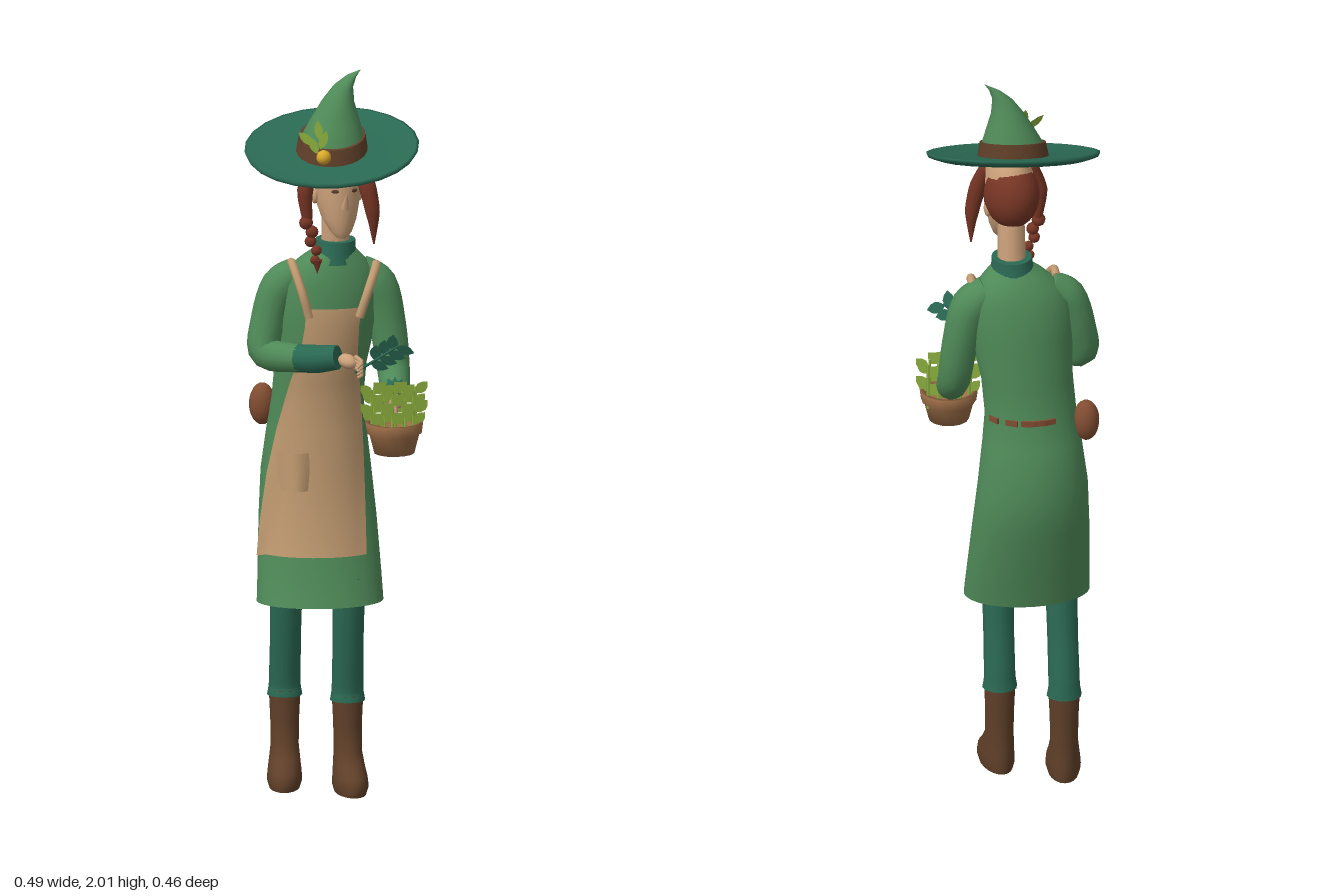
import * as THREE from 'three';

const mat = (name, color) => {
  const m = new THREE.MeshStandardMaterial({ color, side: THREE.DoubleSide });
  m.name = name;
  return m;
};
const M = {
  green: mat('green cloth', 0x4f8a58), teal: mat('dark teal cloth', 0x2a6953),
  lime: mat('leaf green', 0x8db13e), linen: mat('linen', 0xc09a70),
  skin: mat('skin', 0xcda27b), hair: mat('auburn hair', 0x763524),
  brown: mat('boot brown', 0x5f3f28), clay: mat('clay', 0x9c6d47),
  leather: mat('leather', 0x824d32), yellow: mat('yellow', 0xd9a92c),
};
const V = (a) => new THREE.Vector3(...a);

function add(parent, name, geo, material, pos = [0, 0, 0], rot = [0, 0, 0], scale = [1, 1, 1]) {
  const m = new THREE.Mesh(geo, material);
  m.name = name;
  m.position.set(...pos);
  m.rotation.set(...rot);
  m.scale.set(...scale);
  parent.add(m);
  return m;
}

// Skins a list of equal rings of points, with flat end caps
function skinRings(rings) {
  const n = rings[0].length, pos = [], idx = [];
  rings.forEach((r) => r.forEach((p) => pos.push(p.x, p.y, p.z)));
  for (let i = 0; i < rings.length - 1; i++) for (let j = 0; j < n; j++) {
    const a = i * n + j, b = i * n + (j + 1) % n;
    idx.push(a, b, b + n, a, b + n, a + n);
  }
  [rings[0], rings[rings.length - 1]].forEach((r, end) => {
    const base = pos.length / 3, c = new THREE.Vector3();
    r.forEach((p) => { pos.push(p.x, p.y, p.z); c.addScaledVector(p, 1 / n); });
    pos.push(c.x, c.y, c.z);
    for (let j = 0; j < n; j++) {
      const a = base + j, b = base + (j + 1) % n;
      if (end) idx.push(a, b, base + n); else idx.push(b, a, base + n);
    }
  });
  const g = new THREE.BufferGeometry();
  g.setAttribute('position', new THREE.Float32BufferAttribute(pos, 3));
  g.setIndex(idx);
  g.computeVertexNormals();
  return g;
}

// Upright loft from ellipses [y, cx, cz, rx, rz]
const loft = (sections, n = 24) => skinRings(sections.map(([y, cx, cz, rx, rz]) =>
  Array.from({ length: n }, (_, j) => {
    const a = j / n * Math.PI * 2;
    return new THREE.Vector3(cx + rx * Math.sin(a), y, cz + rz * Math.cos(a));
  })));

// Tapering tube along a curve; ref is a direction never parallel to the path
function limb(points, radii, ref = [0, 0, 1], n = 12, steps = 16) {
  const curve = new THREE.CatmullRomCurve3(points.map(V));
  return skinRings(Array.from({ length: steps + 1 }, (_, i) => {
    const t = i / steps, f = t * (radii.length - 1), k = Math.min(Math.floor(f), radii.length - 2);
    const r = THREE.MathUtils.lerp(radii[k], radii[k + 1], f - k);
    const c = curve.getPoint(t), T = curve.getTangent(t), v = V(ref);
    v.addScaledVector(T, -v.dot(T)).normalize();
    const u = T.clone().cross(v);
    return Array.from({ length: n }, (_, j) => {
      const a = j / n * Math.PI * 2;
      return c.clone().addScaledVector(u, r * Math.sin(a)).addScaledVector(v, r * Math.cos(a));
    });
  }));
}

function leafGeo(w, h) {
  const s = new THREE.Shape();
  s.moveTo(0, 0);
  s.quadraticCurveTo(w * 0.9, h * 0.45, 0, h);
  s.quadraticCurveTo(-w * 0.9, h * 0.45, 0, 0);
  return new THREE.ShapeGeometry(s, 4);
}

const DRESS = [
  [0.525, -0.03, -0.035, 0.172, 0.115], [0.6, -0.03, -0.055, 0.168, 0.11],
  [0.75, -0.032, -0.09, 0.16, 0.112], [0.88, -0.035, -0.105, 0.15, 0.118],
  [1.0, -0.035, -0.09, 0.135, 0.102], [1.08, -0.033, -0.08, 0.125, 0.092],
  [1.18, -0.025, -0.068, 0.125, 0.097], [1.3, -0.012, -0.058, 0.138, 0.103],
  [1.4, -0.008, -0.053, 0.14, 0.095], [1.45, 0, -0.05, 0.112, 0.08],
  [1.48, 0.005, -0.043, 0.08, 0.068], [1.5, 0.01, -0.04, 0.055, 0.055],
];
function dressAt(y) {
  let i = 0;
  while (i < DRESS.length - 2 && DRESS[i + 1][0] < y) i++;
  const t = (y - DRESS[i][0]) / (DRESS[i + 1][0] - DRESS[i][0]);
  return DRESS[i].map((v, k) => THREE.MathUtils.lerp(v, DRESS[i + 1][k], t));
}
function frontZ(x, y) {
  const [, cx, cz, rx, rz] = dressAt(y);
  return cz + rz * Math.sqrt(Math.max(0.25, 1 - ((x - cx) / rx) ** 2)) + 0.01;
}

// Curved sheet over the dress front from rows [y, left x, right x]
function frontSheet(rows, lift = 0, n = 10) {
  const g = new THREE.PlaneGeometry(1, 1, n, rows.length - 1), p = g.attributes.position;
  for (let i = 0; i < p.count; i++) {
    const [y, a, b] = rows[Math.floor(i / (n + 1))], t = (i % (n + 1)) / n;
    const x = THREE.MathUtils.lerp(a, b, t);
    p.setXYZ(i, x, y, frontZ(x, y) + lift * Math.sin(t * Math.PI));
  }
  g.computeVertexNormals();
  return g;
}

function buildHat(root) {
  const hat = new THREE.Group();
  hat.name = 'hat';
  hat.position.set(-0.004, 1.787, 0.032);
  hat.rotation.set(0.31, 0, 0.05);
  root.add(hat);
  const brim = [[0, -0.008], [0.12, -0.012], [0.2, -0.008], [0.232, 0.002], [0.237, 0.012],
    [0.228, 0.014], [0.18, 0.004], [0.1, 0.004], [0, 0.006]].map((p) => new THREE.Vector2(...p));
  add(hat, 'hatBrim', new THREE.LatheGeometry(brim, 24), M.teal, [0, 0, 0], [0, 0, 0], [1, 1, 0.88]);
  add(hat, 'hatCrown', loft([[0, 0, 0, 0.093, 0.09], [0.035, 0.003, -0.01, 0.086, 0.083],
    [0.08, 0.012, -0.026, 0.066, 0.064], [0.125, 0.022, -0.042, 0.045, 0.045],
    [0.165, 0.039, -0.056, 0.027, 0.027], [0.19, 0.062, -0.065, 0.014, 0.014],
    [0.206, 0.088, -0.07, 0.001, 0.001]]), M.green);
  add(hat, 'hatBand', loft([[0.004, 0, 0, 0.097, 0.095], [0.043, 0.003, -0.012, 0.09, 0.087]]), M.brown);
  add(root, 'hatFruit', new THREE.SphereGeometry(0.02, 14, 10), M.yellow, [-0.037, 1.795, 0.15]);
  [[-0.05, 0.5], [-0.045, -0.4], [-0.062, 0.9], [-0.045, 0.1]].forEach(([x, r], i) =>
    add(root, 'hatLeaf', leafGeo(0.028, 0.055), M.lime, [x, 1.8 + i * 0.012, 0.132 - i * 0.004], [-0.3, 0.3, r]));
}

function buildHead(root) {
  const head = new THREE.Group();
  head.name = 'head';
  head.position.x = 0.012;
  head.rotation.y = 0.22;
  root.add(head);
  add(head, 'face', loft([[1.548, 0, 0.045, 0.014, 0.016], [1.565, 0, 0.038, 0.03, 0.032],
    [1.6, 0, 0.02, 0.047, 0.056], [1.65, 0, 0.004, 0.06, 0.076], [1.7, 0, 0, 0.064, 0.08],
    [1.76, 0, 0, 0.062, 0.078], [1.8, 0, 0, 0.04, 0.05]]), M.skin);
  add(head, 'nose', new THREE.ConeGeometry(0.013, 0.05, 8), M.skin, [0, 1.658, 0.084], [0.45, 0, 0]);
  for (const s of [-1, 1]) {
    add(head, 'ear', new THREE.SphereGeometry(0.02, 10, 8), M.skin, [s * 0.063, 1.66, 0], [0, 0, 0], [0.5, 1.2, 0.8]);
    add(head, 'eye', new THREE.SphereGeometry(0.009, 8, 6), M.brown, [s * 0.027, 1.682, 0.072], [0, s * 0.4, 0], [1.2, 0.6, 0.3]);
    add(head, 'brow', new THREE.BoxGeometry(0.026, 0.005, 0.005), M.brown, [s * 0.028, 1.703, 0.073], [0, s * 0.4, s * -0.15]);
  }
  add(head, 'mouth', new THREE.TorusGeometry(0.024, 0.0025, 6, 12, 1.8), M.brown, [0, 1.63, 0.07], [0.2, 0, Math.PI + 0.67]);
  add(head, 'backHair', new THREE.SphereGeometry(1, 20, 16, Math.PI * 0.95, Math.PI * 1.1), M.hair,
    [0, 1.7, -0.012], [0, 0, 0], [0.075, 0.095, 0.092]);
  add(root, 'neck', limb([[0.012, 1.46, -0.045], [0.012, 1.62, -0.03]], [0.04, 0.037]), M.skin);
  add(root, 'collar', loft([[1.465, 0.008, -0.042, 0.068, 0.072], [1.49, 0.01, -0.04, 0.058, 0.064],
    [1.525, 0.012, -0.04, 0.054, 0.06]]), M.teal);
  // Side lock and braid
  add(root, 'sideLock', limb([[0.07, 1.76, 0.035], [0.09, 1.69, 0.055], [0.104, 1.62, 0.06], [0.108, 1.53, 0.055]],
    [0.018, 0.024, 0.02, 0.002]), M.hair);
  add(root, 'braidLock', limb([[-0.055, 1.76, 0.03], [-0.077, 1.68, 0.04], [-0.072, 1.6, 0.04]], [0.016, 0.022, 0.014]), M.hair);
  for (let i = 0; i < 5; i++) {
    add(root, 'braidKnot', new THREE.SphereGeometry(0.019 - i * 0.0015, 10, 8), M.hair,
      [-0.07 + i * 0.006 + (i % 2 ? 0.005 : -0.005), 1.59 - i * 0.026, 0.042]);
  }
  add(root, 'braidTip', new THREE.ConeGeometry(0.014, 0.04, 8), M.hair, [-0.045, 1.467, 0.045], [Math.PI, 0, 0]);
}

function buildArms(root) {
  const diag = [1, 0, -1], side = [1, 0, 0];
  add(root, 'rightSleeve', limb([[-0.085, 1.435, -0.05], [-0.135, 1.4, -0.045], [-0.17, 1.3, -0.04],
    [-0.18, 1.222, -0.02], [-0.11, 1.215, 0.04], [-0.04, 1.222, 0.085]],
    [0.042, 0.052, 0.048, 0.045, 0.039, 0.035], diag, 14, 24), M.green);
  add(root, 'rightCuff', limb([[-0.095, 1.216, 0.05], [-0.05, 1.22, 0.08], [0.005, 1.23, 0.108]], [0.039, 0.039, 0.033], diag), M.teal);
  add(root, 'leftSleeve', limb([[0.075, 1.435, -0.055], [0.125, 1.395, -0.055], [0.155, 1.28, -0.05],
    [0.168, 1.17, -0.03], [0.168, 1.125, 0.02], [0.165, 1.115, 0.055]],
    [0.045, 0.054, 0.05, 0.045, 0.041, 0.036], side, 14, 24), M.green);
  add(root, 'leftCuff', limb([[0.166, 1.118, 0.04], [0.163, 1.113, 0.08]], [0.039, 0.034], side), M.teal);
  for (const [name, x, y, z, dx] of [['right', 0.03, 1.222, 0.125, 0.02], ['left', 0.16, 1.105, 0.105, 0]]) {
    add(root, name + 'Hand', new THREE.SphereGeometry(0.024, 12, 8), M.skin, [x, y, z], [0.3, 0.7, 0], [0.9, 0.8, 1.25]);
    for (let i = 0; i < 4; i++) {
      add(root, name + 'Finger', limb([[x + dx, y + 0.014 - i * 0.009, z + 0.01],
        [x + dx * 1.8, y + 0.004 - i * 0.011, z + 0.032], [x + dx * 1.2, y - 0.012 - i * 0.009, z + 0.036]],
        [0.007, 0.006, 0.004], side, 6, 5), M.skin);
    }
  }
  // Cutting held in the right hand
  add(root, 'cuttingStem', limb([[0.05, 1.195, 0.14], [0.1, 1.235, 0.175], [0.16, 1.28, 0.205]], [0.004, 0.004, 0.003], [0, 1, -1], 6), M.teal);
  for (let i = 0; i < 7; i++) {
    const t = 0.35 + i * 0.1, s = i % 2 ? 1 : -1;
    add(root, 'cuttingLeaf', leafGeo(0.036, 0.052), M.teal,
      [0.05 + 0.11 * t, 1.195 + 0.085 * t, 0.14 + 0.065 * t], [0.4, -0.3, -0.9 + s * 0.85]);
  }
}

function buildPot(root) {
  const pot = new THREE.Group();
  pot.name = 'plantPot';
  pot.position.set(0.155, 0.97, 0.14);
  root.add(pot);
  const profile = [[0, 0], [0.055, 0], [0.069, 0.055], [0.075, 0.056], [0.079, 0.085], [0.068, 0.085], [0.06, 0.045], [0, 0.045]];
  add(pot, 'pot', new THREE.LatheGeometry(profile.map((p) => new THREE.Vector2(...p)), 14), M.clay);
  for (let k = 0; k < 2; k++) for (let c = 0; c < 5; c++) {
    const x = (c - 2) * 0.028 + k * 0.01 - 0.005, z = k ? -0.028 : 0.005;
    add(pot, 'plantStem', new THREE.CylinderGeometry(0.004, 0.004, 0.13, 6), M.lime, [x, 0.11, z]);
    for (let r = 0; r < 4; r++) {
      add(pot, 'plantLeaf', leafGeo(0.034, 0.046), M.lime, [x, 0.08 + r * 0.026, z + 0.006],
        [0.12, 0, ((c + r + k) % 2 ? 0.75 : -0.75)]);
    }
  }
}

function buildLegs(root) {
  for (const [name, x, z, topZ, turn] of [['left', 0.045, -0.04, -0.002, 0.08], ['right', -0.118, -0.122, -0.07, -0.1]]) {
    add(root, name + 'Trouser', limb([[x, 0.245, z], [x, 0.275, z], [x, 0.42, (z + topZ) / 2], [x, 0.6, topZ]],
      [0.048, 0.043, 0.042, 0.045]), M.teal);
    add(root, name + 'Boot', loft([[0, 0, 0.043, 0.042, 0.088], [0.02, 0, 0.044, 0.048, 0.092], [0.045, 0, 0.04, 0.046, 0.086],
      [0.075, 0, 0.02, 0.042, 0.064], [0.11, 0, 0.004, 0.038, 0.045], [0.18, 0, 0, 0.039, 0.042], [0.262, 0, 0, 0.043, 0.044]], 20),
      M.brown, [x, 0, z], [0, turn, 0]);
  }
}

export function createModel() {
  const root = new THREE.Group();
  root.name = 'gardener';
  add(root, 'dress', loft(DRESS, 32), M.green);
  // Apron with pocket and straps
  add(root, 'apron', frontSheet([[1.35, -0.075, 0.078], [1.3, -0.078, 0.07], [1.22, -0.09, 0.068], [1.14, -0.115, 0.075],
    [1.08, -0.13, 0.08], [1, -0.15, 0.085], [0.88, -0.175, 0.09], [0.75, -0.195, 0.092], [0.66, -0.205, 0.092]]), M.linen);
  add(root, 'pocket', frontSheet([[0.945, -0.152, -0.065], [0.9, -0.15, -0.063], [0.84, -0.14, -0.068]], 0.018), M.linen);
  for (const [x0, x1, top] of [[-0.066, -0.108, 1.465], [0.07, 0.12, 1.455]]) {
    add(root, 'apronStrap', limb([[x0, 1.325, 0.044], [(x0 + x1) / 2, 1.4, 0.04], [x1, top, -0.012], [x1, top - 0.005, -0.05]],
      [0.012, 0.012, 0.012, 0.011], [1, 0, 0], 8), M.linen);
  }
  // Belt pieces showing at the back
  const [, bx, bz, brx, brz] = dressAt(1.08);
  for (const a of [2.1, 2.6, 2.95, 3.2, 3.45]) {
    add(root, 'beltPiece', new THREE.BoxGeometry(0.034, 0.016, 0.008), M.leather,
      [bx + brx * Math.sin(a), 1.082, bz + brz * Math.cos(a)], [0, a, 0]);
  }
  add(root, 'pouch', new THREE.SphereGeometry(1, 16, 12), M.leather, [-0.18, 1.055, -0.112], [0, 0, 0], [0.036, 0.058, 0.035]);
  buildHat(root);
  buildHead(root);
  buildArms(root);
  buildPot(root);
  buildLegs(root);
  return root;
}
